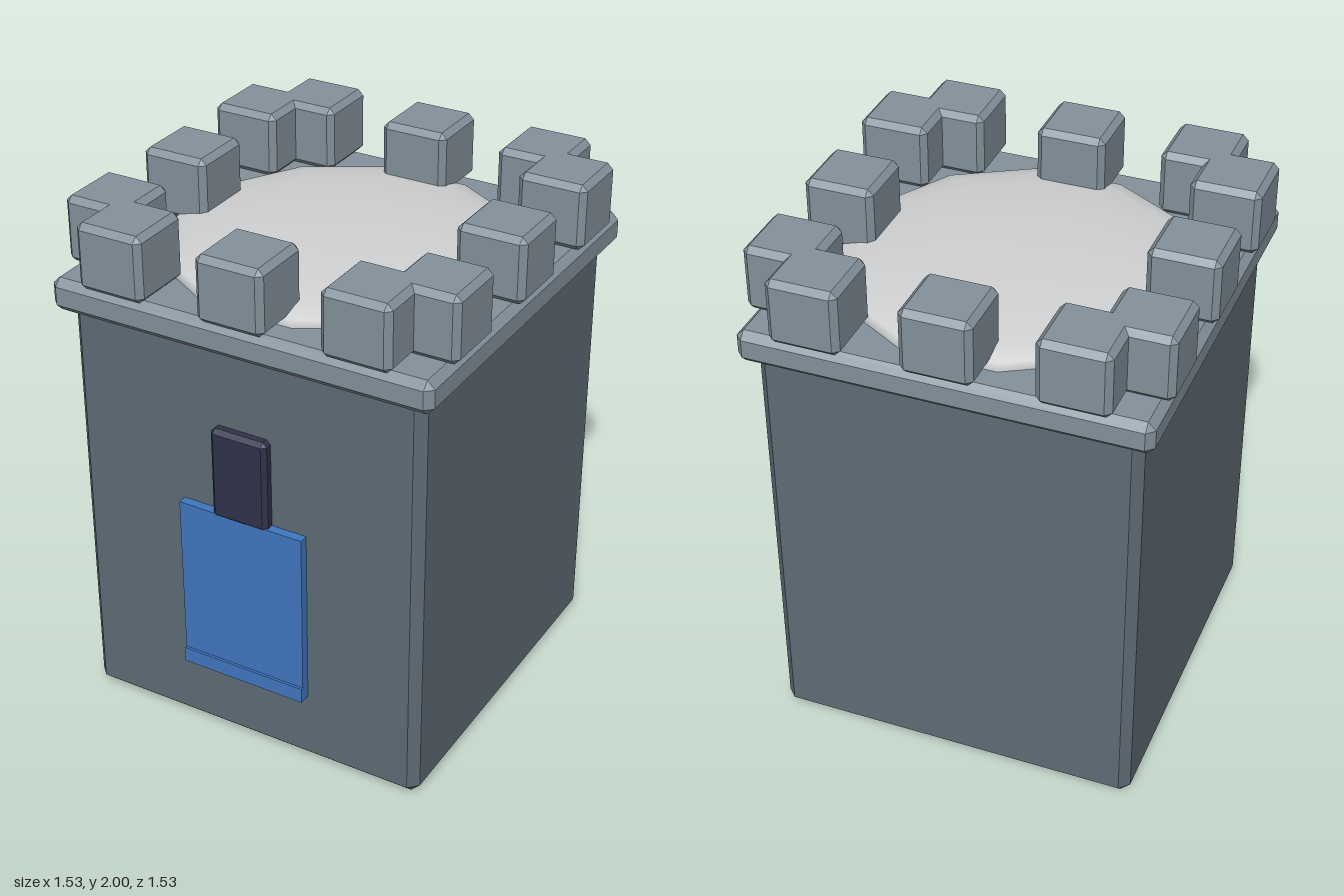
import * as THREE from 'three';
import { ConvexGeometry } from 'three/addons/geometries/ConvexGeometry.js';

function material(name, color) {
  const m = new THREE.MeshStandardMaterial({ color });
  m.name = name;
  return m;
}

// Box with every edge cut by a single flat bevel
function chamferBox(w, h, d, c) {
  const points = [];
  for (const sx of [-1, 1]) for (const sy of [-1, 1]) for (const sz of [-1, 1]) {
    const x = w / 2, y = h / 2, z = d / 2;
    points.push(
      new THREE.Vector3(sx * x, sy * (y - c), sz * (z - c)),
      new THREE.Vector3(sx * (x - c), sy * y, sz * (z - c)),
      new THREE.Vector3(sx * (x - c), sy * (y - c), sz * z));
  }
  return new ConvexGeometry(points);
}

export function createModel() {
  const tower = new THREE.Group();
  tower.name = 'tower';

  const wall = material('dark stone', 0x5f6b75);
  const trim = material('light stone', 0x83919b);
  const roof = material('pale roof', 0xcfd1d2);
  const cloth = material('blue cloth', 0x4076bf);
  const dark = material('window dark', 0x30334a);

  function add(name, geometry, mat, x, y, z) {
    const mesh = new THREE.Mesh(geometry, mat);
    mesh.name = name;
    mesh.position.set(x, y, z);
    tower.add(mesh);
    return mesh;
  }

  // Square shaft and the ledge on top of it
  add('towerBody', chamferBox(1.39, 1.66, 1.39, 0.035), wall, 0, 0.83, 0);
  add('ledge', chamferBox(1.49, 0.125, 1.49, 0.028), trim, 0, 1.6875, 0);

  // Three battlements along each side; the end ones overlap at the corners
  const block = chamferBox(0.262, 0.25, 0.262, 0.022);
  for (let side = 0; side < 4; side++) {
    const row = new THREE.Group();
    row.name = 'battlementRow';
    row.rotation.y = side * Math.PI / 2;
    for (const x of [-0.475, 0, 0.475]) {
      const merlon = new THREE.Mesh(block, trim);
      merlon.name = 'merlon';
      merlon.position.set(x, 1.875, 0.634);
      row.add(merlon);
    }
    tower.add(row);
  }

  // Shallow twelve-sided dome set into the ledge
  const domeGeometry = new THREE.SphereGeometry(0.66, 12, 6, 0, Math.PI * 2, 0, Math.PI / 2);
  domeGeometry.rotateY(Math.PI / 12);
  domeGeometry.scale(1, 0.08 / 0.66, 1);
  add('roofDome', domeGeometry, roof, 0, 1.75, 0);

  // Window and hanging banner on the front
  add('window', chamferBox(0.225, 0.36, 0.08, 0.016), dark, 0, 1.15, 0.695);
  add('banner', new THREE.BoxGeometry(0.5, 0.695, 0.035), cloth, 0, 0.6375, 0.7125);
  add('bannerHem', new THREE.BoxGeometry(0.5, 0.06, 0.045), cloth, 0, 0.32, 0.7175);

  return tower;
}
